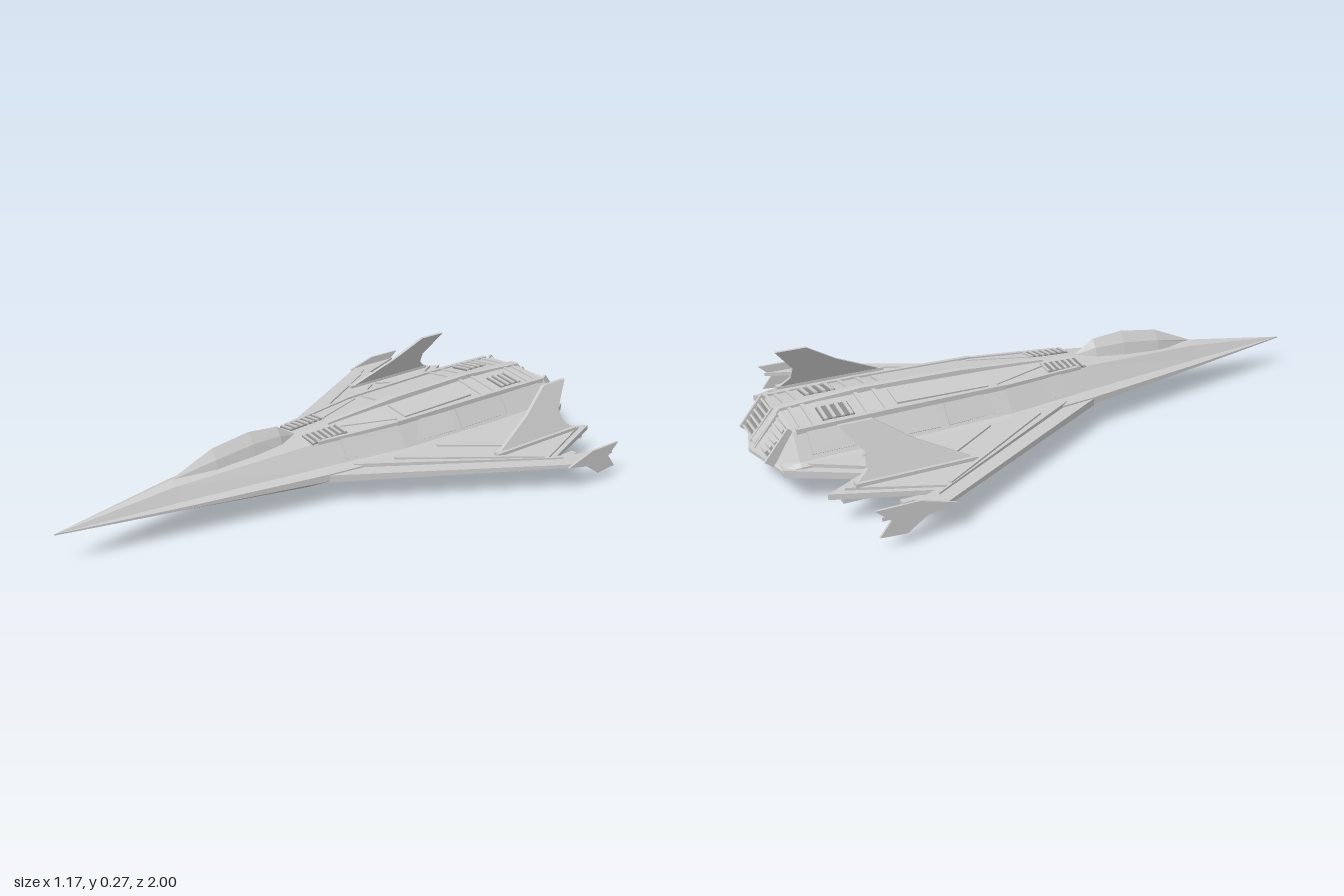
import * as THREE from 'three';

const hullGrey = new THREE.MeshStandardMaterial({ color: 0xcacaca });
hullGrey.name = 'hull grey';
const recessGrey = new THREE.MeshStandardMaterial({ color: 0x8c8c8c });
recessGrey.name = 'recess grey';

const { lerp } = THREE.MathUtils;

function add(parent, name, geometry, material = hullGrey) {
  const mesh = new THREE.Mesh(geometry, material);
  mesh.name = name;
  parent.add(mesh);
  return mesh;
}

// Flat-shaded skin over half sections [z, [x, y]...] that run from bottom centre to top centre
function loft(sections, sweep = 0) {
  const rings = sections.map(([z, ...half], i) => {
    const mirrored = half.slice(1, -1).reverse().map(([x, y]) => [-x, y]);
    const k = i === sections.length - 1 ? sweep : 0;
    return [...half, ...mirrored].map(([x, y]) => [x, y, z + Math.abs(x) * k]);
  });
  const out = [], n = rings[0].length;
  for (let i = 0; i < rings.length - 1; i++) {
    for (let j = 0; j < n; j++) {
      const k = (j + 1) % n;
      const a = rings[i][j], b = rings[i][k], c = rings[i + 1][j], d = rings[i + 1][k];
      out.push(...a, ...c, ...b, ...b, ...c, ...d);
    }
  }
  const last = rings[rings.length - 1];
  for (let j = 1; j < n - 1; j++) out.push(...last[0], ...last[j + 1], ...last[j]);
  const g = new THREE.BufferGeometry();
  g.setAttribute('position', new THREE.Float32BufferAttribute(out, 3));
  g.computeVertexNormals();
  return g;
}

// Straight bar between two points
function bar(parent, name, a, b, w, h, material) {
  const from = new THREE.Vector3(...a), to = new THREE.Vector3(...b);
  const m = add(parent, name, new THREE.BoxGeometry(w, h, from.distanceTo(to)), material);
  m.position.copy(from).lerp(to, 0.5);
  m.lookAt(to);
  return m;
}

// Plate drawn in plan as [x, z]; top and bottom heights are functions of x
function planPlate(points, top, bottom) {
  const shape = new THREE.Shape(points.map(([x, z]) => new THREE.Vector2(x, -z)));
  const g = new THREE.ExtrudeGeometry(shape, { depth: 1, bevelEnabled: false });
  g.rotateX(-Math.PI / 2);
  const p = g.attributes.position;
  for (let i = 0; i < p.count; i++) p.setY(i, (p.getY(i) > 0.5 ? top : bottom)(p.getX(i)));
  g.computeVertexNormals();
  return g;
}

// Upright blade drawn in side view as [z, y], leaning inward with height
function blade(points, x, thick, lean = 0, rootY = 0) {
  const shape = new THREE.Shape(points.map(([z, y]) => new THREE.Vector2(-z, y)));
  const g = new THREE.ExtrudeGeometry(shape, { depth: thick, bevelEnabled: false });
  g.rotateY(Math.PI / 2);
  const p = g.attributes.position;
  for (let i = 0; i < p.count; i++) p.setX(i, p.getX(i) + x - thick / 2 - (p.getY(i) - rootY) * lean);
  g.computeVertexNormals();
  return g;
}

// z, keel, keel edge, lower chine, upper chine, side foot, deck edge, deck centre
const hull = [
  [1, [0, .108], [0, .108], [0, .108], [0, .112], [0, .112], [0, .112], [0, .112]],
  [.6, [0, .066], [.008, .066], [.076, .098], [.076, .108], [.055, .116], [.03, .16], [0, .172]],
  [.11, [0, .02], [.05, .02], [.17, .088], [.17, .112], [.135, .124], [.09, .192], [0, .203]],
  [-.2, [0, .018], [.07, .018], [.21, .084], [.21, .115], [.185, .125], [.138, .2], [0, .216]],
  [-.6, [0, .022], [.07, .022], [.22, .084], [.22, .115], [.2, .125], [.148, .203], [0, .226]],
  [-.78, [0, .05], [.085, .05], [.22, .085], [.22, .115], [.2, .125], [.15, .203], [0, .224]],
  [-.9, [0, .078], [.08, .078], [.215, .088], [.215, .112], [.2, .122], [.15, .198], [0, .215]],
  [-1, [0, .094], [.08, .094], [.2, .094], [.2, .1], [.185, .102], [.14, .104], [0, .106]],
];

// Height of the upper deck at x, z
function deck(x, z) {
  let i = 0;
  while (i < hull.length - 2 && hull[i + 1][0] > z) i++;
  const a = hull[i], b = hull[i + 1], t = (z - a[0]) / (b[0] - a[0]);
  const edgeX = lerp(a[6][0], b[6][0], t);
  return lerp(lerp(a[7][1], b[7][1], t), lerp(a[6][1], b[6][1], t), Math.abs(x) / edgeX);
}
const onDeck = (x, z, lift = 0) => [x, deck(x, z) + lift, z];

// Everything that appears on both sides, built for +x
function buildSide() {
  const side = new THREE.Group();

  // Wing with notched trailing edge and a raised inner skin
  add(side, 'wing', planPlate(
    [[.1, .1], [.17, .11], [.575, -.59], [.578, -.79], [.5, -.6], [.39, -.88], [.315, -.75], [.2, -.95], [.1, -.95]],
    x => lerp(.112, .098, x / .58), x => lerp(.082, .086, x / .58)));
  add(side, 'wingSkin', planPlate(
    [[.13, .02], [.17, .01], [.53, -.6], [.5, -.56], [.39, -.83], [.315, -.7], [.21, -.88], [.13, -.88]],
    x => lerp(.128, .104, x / .55), () => .095));
  bar(side, 'wingRib', [.22, .125, -.12], [.49, .108, -.55], .012, .006);
  bar(side, 'wingRib', [.23, .125, -.3], [.36, .117, -.5], .01, .006);
  bar(side, 'wingRib', [.24, .124, -.72], [.36, .117, -.52], .01, .006);

  // Canted fin and wingtip fin
  add(side, 'fin', blade([[-.42, .112], [-.6, .2], [-.71, .272], [-.815, .272], [-.75, .19], [-.755, .15], [-.8, .112]],
    .392, .012, .48, .112));
  bar(side, 'finRoot', [.393, .114, -.42], [.393, .114, -.8], .024, .014);
  add(side, 'wingtipFin', blade([[-.57, .093], [-.68, .125], [-.81, .125], [-.765, .085], [-.8, .04], [-.72, .034], [-.66, .075]],
    .58, .008));

  // Underwing pods, blades and hatches
  for (const [x, z0, z1] of [[.3, -.42, -.78], [.39, -.5, -.84], [.49, -.56, -.7]])
    bar(side, 'underwingPod', [x, .076, z0], [x, .076, z1], .022, .016);
  for (const [x, z] of [[.33, -.36], [.44, -.5]])
    bar(side, 'underwingHatch', [x, .08, z + .05], [x, .08, z - .05], .07, .014);
  const hatch = add(side, 'bellyHatch', new THREE.BoxGeometry(.05, .008, .12));
  hatch.position.set(.145, .051, -.42);
  hatch.rotation.z = .42;

  // Deck edge longeron, inner rail and rail beside the spine
  bar(side, 'longeron', onDeck(.09, .1), onDeck(.136, -.2), .012, .012);
  bar(side, 'longeron', onDeck(.136, -.2), onDeck(.147, -.6), .014, .016);
  bar(side, 'longeron', onDeck(.147, -.6), onDeck(.148, -.89), .014, .016);
  bar(side, 'deckRail', onDeck(.045, -.02), onDeck(.115, -.22), .007, .008);
  bar(side, 'deckPanel', onDeck(.075, -.25, .002), onDeck(.075, -.56, .002), .09, .008).rotateZ(.14);

  // Slanted side panels between foot and deck edge
  for (const [z0, z1] of [[.02, -.18], [-.22, -.42], [-.45, -.64], [-.67, -.86]]) {
    const at = z => {
      const t = THREE.MathUtils.clamp((.11 - z) / .5, 0, 1);
      return [lerp(.114, .174, t), lerp(.159, .165, t), z];
    };
    bar(side, 'sidePanel', at(z0), at(z1), .07, .008).rotateZ(z0 > -.2 ? 1 : .98);
  }

  // Forward intake louvres
  bar(side, 'intakeRecess', onDeck(.06, .12, .001), onDeck(.066, -.02, .001), .062, .006, recessGrey).rotateZ(.12);
  for (let i = 0; i < 7; i++) {
    const z = .115 - i * .022;
    bar(side, 'intakeSlat', onDeck(.032, z, .004), onDeck(.092, z, .004), .008, .007);
  }

  // Rear deck vents and cross bars
  bar(side, 'ventRecess', onDeck(.09, -.7, .001), onDeck(.09, -.8, .001), .075, .006, recessGrey).rotateZ(.14);
  for (let i = 0; i < 4; i++) {
    const z = -.71 - i * .027;
    bar(side, 'ventSlat', onDeck(.05, z, .004), onDeck(.13, z, .004), .01, .008);
  }
  for (const z of [-.6, -.66, -.83, -.87])
    bar(side, 'crossBar', onDeck(.015, z), onDeck(.145, z), .012, .01);

  // Exhaust bay on the sloping stern
  const bay = new THREE.Group();
  bay.name = 'exhaustBay';
  bay.position.set(.083, .153, -.938);
  bay.rotation.x = .68;
  add(bay, 'exhaustPlate', new THREE.BoxGeometry(.11, .1, .008), recessGrey);
  for (const x of [-.058, .058])
    add(bay, 'exhaustWall', new THREE.BoxGeometry(.01, .12, .03)).position.set(x, 0, -.003);
  for (let i = 0; i < 6; i++)
    add(bay, 'exhaustVane', new THREE.BoxGeometry(.11, .007, .016)).position.set(0, -.05 + i * .02, -.004);
  side.add(bay);
  return side;
}

export function createModel() {
  const model = new THREE.Group();
  model.name = 'starfighter';

  add(model, 'fuselage', loft(hull, .25));

  // Faceted canopy
  add(model, 'canopy', loft([
    [.6, [0, .165], [.001, .165], [.001, .17], [0, .172]],
    [.45, [0, .16], [.036, .165], [.025, .205], [0, .236]],
    [.31, [0, .17], [.041, .175], [.027, .222], [0, .256]],
    [.2, [0, .18], [.034, .185], [.022, .22], [0, .246]],
    [.13, [0, .19], [.004, .195], [.002, .2], [0, .203]],
  ]));

  // Dorsal spine
  add(model, 'spine', loft([
    [0, [0, .19], [.018, .19], [.016, .212], [0, .214]],
    [-.3, [0, .2], [.018, .2], [.016, .232], [0, .234]],
    [-.64, [0, .2], [.018, .2], [.016, .238], [0, .24]],
    [-.9, [0, .19], [.018, .19], [.016, .222], [0, .224]],
    [-.985, [0, .1], [.018, .1], [.016, .125], [0, .127]],
  ]));

  // Belly plate
  bar(model, 'bellyPlate', [0, .012, -.4], [0, .012, -.64], .07, .018);
  bar(model, 'bellyRunner', [0, .005, -.42], [0, .005, -.62], .05, .01);

  const left = buildSide();
  left.name = 'leftSide';
  const right = buildSide();
  right.name = 'rightSide';
  right.scale.x = -1;
  model.add(left, right);
  return model;
}
